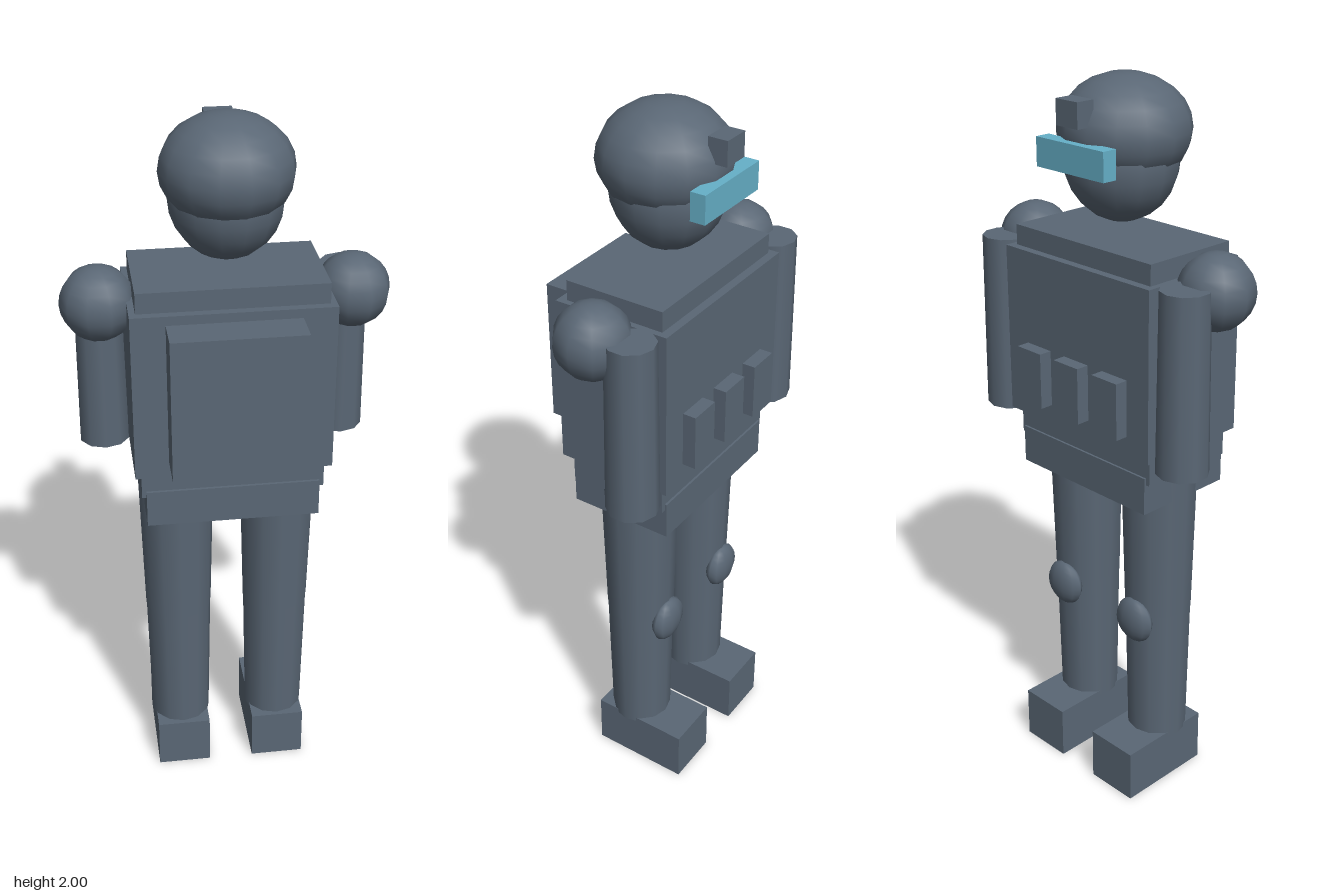
import * as THREE from 'three';

export function createModel() {
  const root = new THREE.Group();
  root.name = 'armouredFigure';

  const armour = new THREE.MeshStandardMaterial({ color: 0x5a6775 });
  armour.name = 'slate armour';
  const glass = new THREE.MeshStandardMaterial({ color: 0x66b0c8 });
  glass.name = 'visor blue';

  const add = (name, geometry, x, y, z, material = armour) => {
    const mesh = new THREE.Mesh(geometry, material);
    mesh.name = name;
    mesh.position.set(x, y, z);
    root.add(mesh);
    return mesh;
  };
  // box given by its centre x, width, and its y and z extents
  const box = (name, x, w, y0, y1, z0, z1, material) =>
    add(name, new THREE.BoxGeometry(w, y1 - y0, z1 - z0), x, (y0 + y1) / 2, (z0 + z1) / 2, material);
  const ellipsoid = (name, x, y, z, rx, ry, rz, sides) =>
    add(name, new THREE.SphereGeometry(1, sides, 12).scale(rx, ry, rz), x, y, z);
  const cylinder = (name, x, z, y0, y1, rBottom, rTop, sides) =>
    add(name, new THREE.CylinderGeometry(rTop, rBottom, y1 - y0, sides), x, (y0 + y1) / 2, z);

  // Head, helmet and eyewear
  ellipsoid('head', 0, 1.79, -0.025, 0.15, 0.163, 0.15, 14);
  ellipsoid('helmet', 0, 1.86, -0.015, 0.173, 0.14, 0.173, 14);
  box('goggles', 0, 0.24, 1.775, 1.85, -0.205, -0.163, glass);
  box('helmetMount', 0, 0.076, 1.89, 1.955, -0.211, -0.157);

  // Torso, vest and hips
  box('torso', 0, 0.494, 1.0, 1.595, -0.172, 0.11);
  box('vest', 0, 0.528, 1.075, 1.54, -0.195, 0.133);
  box('hips', 0, 0.47, 0.915, 1.02, -0.178, 0.118);
  box('backpack', 0, 0.348, 1.12, 1.515, 0.12, 0.232);
  for (const x of [-0.143, 0, 0.143]) box('pouch', x, 0.09, 1.13, 1.285, -0.232, -0.18);

  // Mirrored limbs
  for (const s of [-1, 1]) {
    ellipsoid('shoulder', s * 0.333, 1.515, -0.03, 0.1, 0.1, 0.1, 10);
    cylinder('arm', s * 0.33, -0.138, 1.06, 1.545, 0.07, 0.065, 10);
    cylinder('upperLeg', s * 0.143, -0.028, 0.55, 1.0, 0.095, 0.106, 12);
    cylinder('lowerLeg', s * 0.143, -0.028, 0.14, 0.56, 0.086, 0.094, 12);
    ellipsoid('kneePad', s * 0.143, 0.53, -0.121, 0.065, 0.066, 0.031, 10);
    box('boot', s * 0.143, 0.155, 0, 0.153, -0.214, 0.07);
  }
  return root;
}
